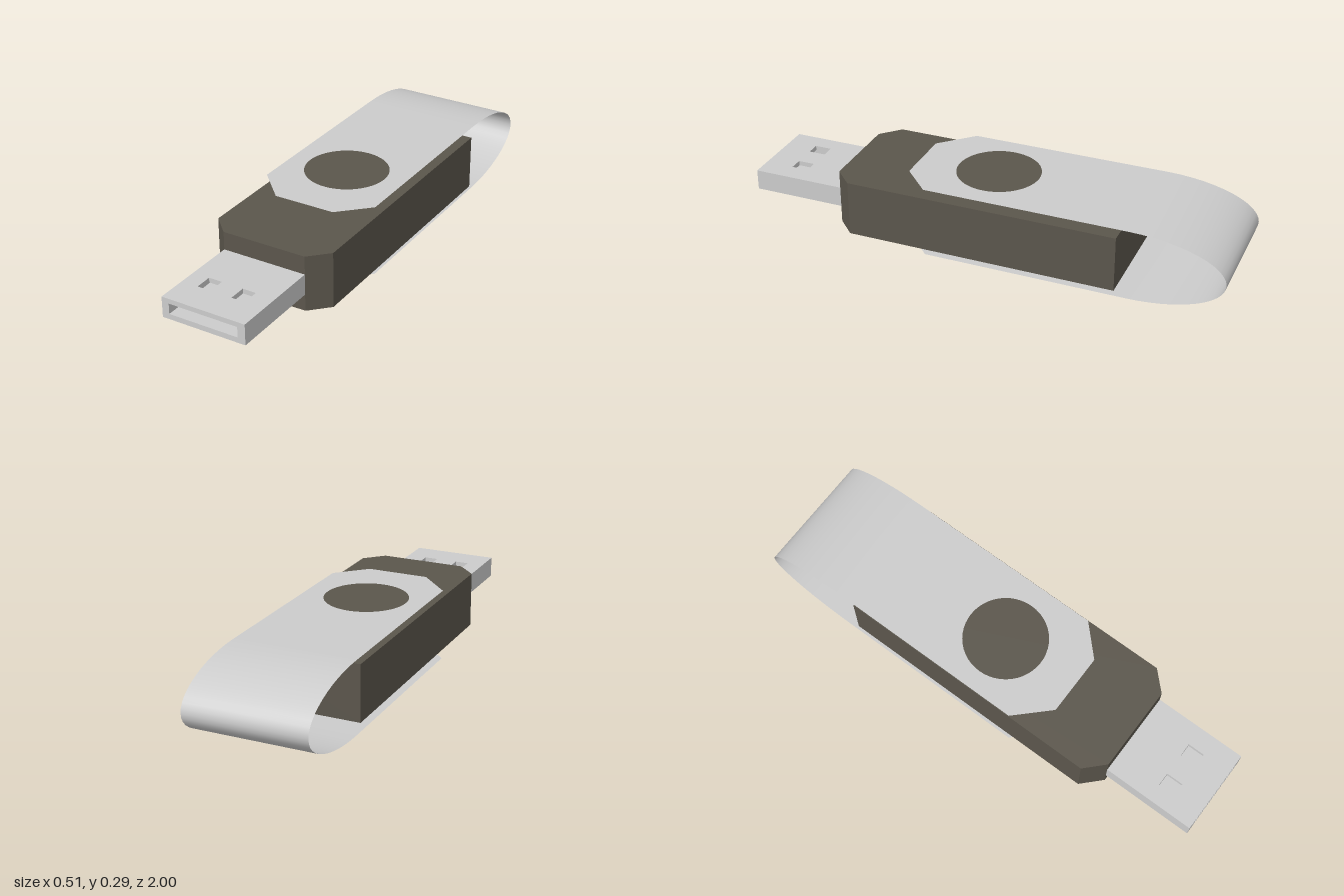
import * as THREE from 'three';

const metal = new THREE.MeshStandardMaterial({ color: 0xcccccc });
metal.name = 'light metal';
metal.side = THREE.DoubleSide;
const plastic = new THREE.MeshStandardMaterial({ color: 0x5b564c });
plastic.name = 'dark plastic';

const polygon = (points) => new THREE.Shape(points.map(([x, y]) => new THREE.Vector2(x, y)));
const rectangle = (x0, x1, y0, y1) => polygon([[x0, y0], [x1, y0], [x1, y1], [x0, y1]]);
const extrude = (shape, depth) => new THREE.ExtrudeGeometry(shape, { depth, bevelEnabled: false });

function add(group, name, geometry, material) {
  const mesh = new THREE.Mesh(geometry, material);
  mesh.name = name;
  group.add(mesh);
}

// Block with two chamfered front corners, drawn in plan with shape y = -z
function addBody(group) {
  const plan = polygon([
    [-0.252, 0.575], [-0.252, -0.54], [-0.175, -0.615],
    [0.18, -0.615], [0.255, -0.54], [0.255, 0.575],
  ]);
  add(group, 'body', extrude(plan, 0.23).rotateX(-Math.PI / 2).translate(0, 0.03, 0), plastic);
}

// Hollow plug: a U-shaped tray under a top plate with two latch holes
function addConnector(group) {
  const plug = new THREE.Group();
  plug.name = 'connector';
  const tray = polygon([
    [-0.175, 0.1], [0.18, 0.1], [0.18, 0.165], [0.148, 0.165],
    [0.148, 0.122], [-0.145, 0.122], [-0.145, 0.165], [-0.175, 0.165],
  ]);
  add(plug, 'connectorTray', extrude(tray, 0.385).translate(0, 0, 0.615), metal);

  const plate = rectangle(-0.175, 0.18, -1, -0.615);
  for (const x of [-0.077, 0.07]) plate.holes.push(rectangle(x - 0.028, x + 0.028, -0.88, -0.81));
  add(plug, 'connectorTop', extrude(plate, 0.02).rotateX(-Math.PI / 2).translate(0, 0.165, 0), metal);
  group.add(plug);
}

// Thin swivel cover: two flat arms with round holes, joined by a bend at the back
function addCover(group) {
  const cover = new THREE.Group();
  cover.name = 'swivelCover';
  const left = -0.257, right = 0.243, half = 0.1465, bend = 0.38;

  for (const side of [1, -1]) {
    const arm = polygon([
      [left, 1 - bend], [left, -0.2], [-0.13, -0.33],
      [0.125, -0.33], [right, -0.215], [right, 1 - bend],
    ].map(([x, y]) => [x, side * y]));
    const hole = new THREE.Path();
    hole.absarc(-0.01, 0, 0.17, 0, Math.PI * 2, true);
    arm.holes.push(hole);
    const geometry = new THREE.ShapeGeometry(arm, 24);
    geometry.rotateX(-side * Math.PI / 2).translate(0, half + side * half, 0);
    add(cover, side > 0 ? 'coverTopArm' : 'coverBottomArm', geometry, metal);
  }

  // Half-ellipse bend
  const curve = new THREE.PlaneGeometry(right - left, 1, 1, 24);
  const p = curve.attributes.position;
  for (let i = 0; i < p.count; i++) {
    const t = Math.PI * (0.5 - p.getY(i));
    p.setXYZ(i, (left + right) / 2 - p.getX(i), half + half * Math.cos(t), bend - 1 - bend * Math.sin(t));
  }
  curve.computeVertexNormals();
  add(cover, 'coverBend', curve, metal);
  group.add(cover);
}

export function createModel() {
  const model = new THREE.Group();
  model.name = 'usbStick';
  addBody(model);
  addConnector(model);
  addCover(model);
  return model;
}
